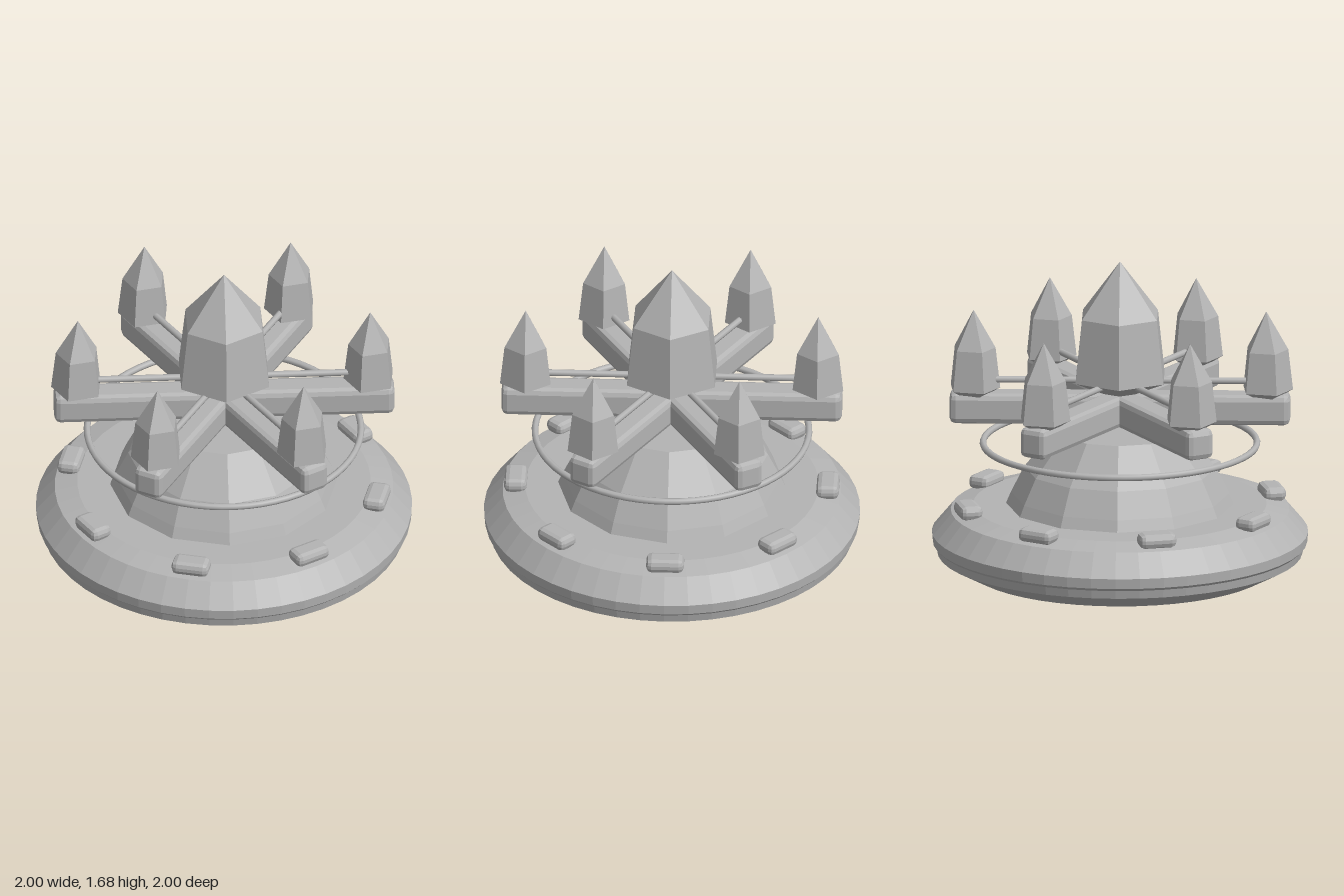
import * as THREE from 'three';
import { RoundedBoxGeometry } from 'three/addons/geometries/RoundedBoxGeometry.js';

const grey = new THREE.MeshStandardMaterial({ color: 0xb4b4b4 });
grey.name = 'stoneGrey';

// Faceted copy of a geometry
function faceted(geometry) {
  const g = geometry.index ? geometry.toNonIndexed() : geometry;
  g.computeVertexNormals();
  return g;
}

function part(name, geometry, parent) {
  const mesh = new THREE.Mesh(geometry, grey);
  mesh.name = name;
  parent.add(mesh);
  return mesh;
}

// Turned solid from [radius, height] pairs, bottom to top, first corner on +x
function turned(points, sides) {
  const profile = points.map(([r, y]) => new THREE.Vector2(r, y));
  return faceted(new THREE.LatheGeometry(profile, sides, Math.PI / 2));
}

const chamferBox = (w, h, d, c) => faceted(new RoundedBoxGeometry(w, h, d, 1, c));

export function createModel() {
  const model = new THREE.Group();
  model.name = 'crystalCarousel';

  // Round base with a raised rim band
  part('base', turned([
    [0, 0], [0.81, 0], [0.97, 0.085], [0.98, 0.13], [0.995, 0.145],
    [1, 0.2], [0.9, 0.32], [0.78, 0.35], [0, 0.35],
  ], 48), model);

  // Twelve-sided dome
  part('dome', turned([
    [0.61, 0.34], [0.58, 0.41], [0.51, 0.55], [0.34, 0.755], [0, 0.755],
  ], 12), model);

  // Floating hoop
  const hoop = part('hoop', new THREE.TorusGeometry(0.728, 0.018, 8, 64), model);
  hoop.rotation.x = Math.PI / 2;
  hoop.position.y = 0.685;

  // Blocks around the base rim
  const blockGeometry = chamferBox(0.12, 0.075, 0.2, 0.028);
  for (let i = 0; i < 8; i++) {
    const a = i * Math.PI / 4;
    const block = part('rimBlock', blockGeometry, model);
    block.position.set(Math.cos(a) * 0.83, 0.366, -Math.sin(a) * 0.83);
    block.rotation.y = a;
  }

  // Six arms, each with a rod above and a crystal at the end
  const armGeometry = chamferBox(0.9, 0.165, 0.16, 0.032);
  const rodGeometry = new THREE.CylinderGeometry(0.018, 0.018, 0.56, 8);
  const crystalGeometry = turned([
    [0, 0.9], [0.142, 0.98], [0.117, 1.2], [0, 1.41],
  ], 5);
  for (let i = 0; i < 6; i++) {
    const a = Math.PI / 6 + i * Math.PI / 3;
    const spoke = new THREE.Group();
    spoke.name = 'spoke';
    spoke.rotation.y = a;
    model.add(spoke);

    part('arm', armGeometry, spoke).position.set(0.455, 0.88, 0);
    const rod = part('rod', rodGeometry, spoke);
    rod.rotation.z = Math.PI / 2;
    rod.position.set(0.39, 1.028, 0);

    const crystal = part('outerCrystal', crystalGeometry, model);
    crystal.position.set(Math.cos(a) * 0.778, 0, -Math.sin(a) * 0.778);
  }

  // Large central crystal
  part('centreCrystal', turned([
    [0, 0.92], [0.27, 1.04], [0.23, 1.385], [0, 1.68],
  ], 6), model);

  return model;
}
